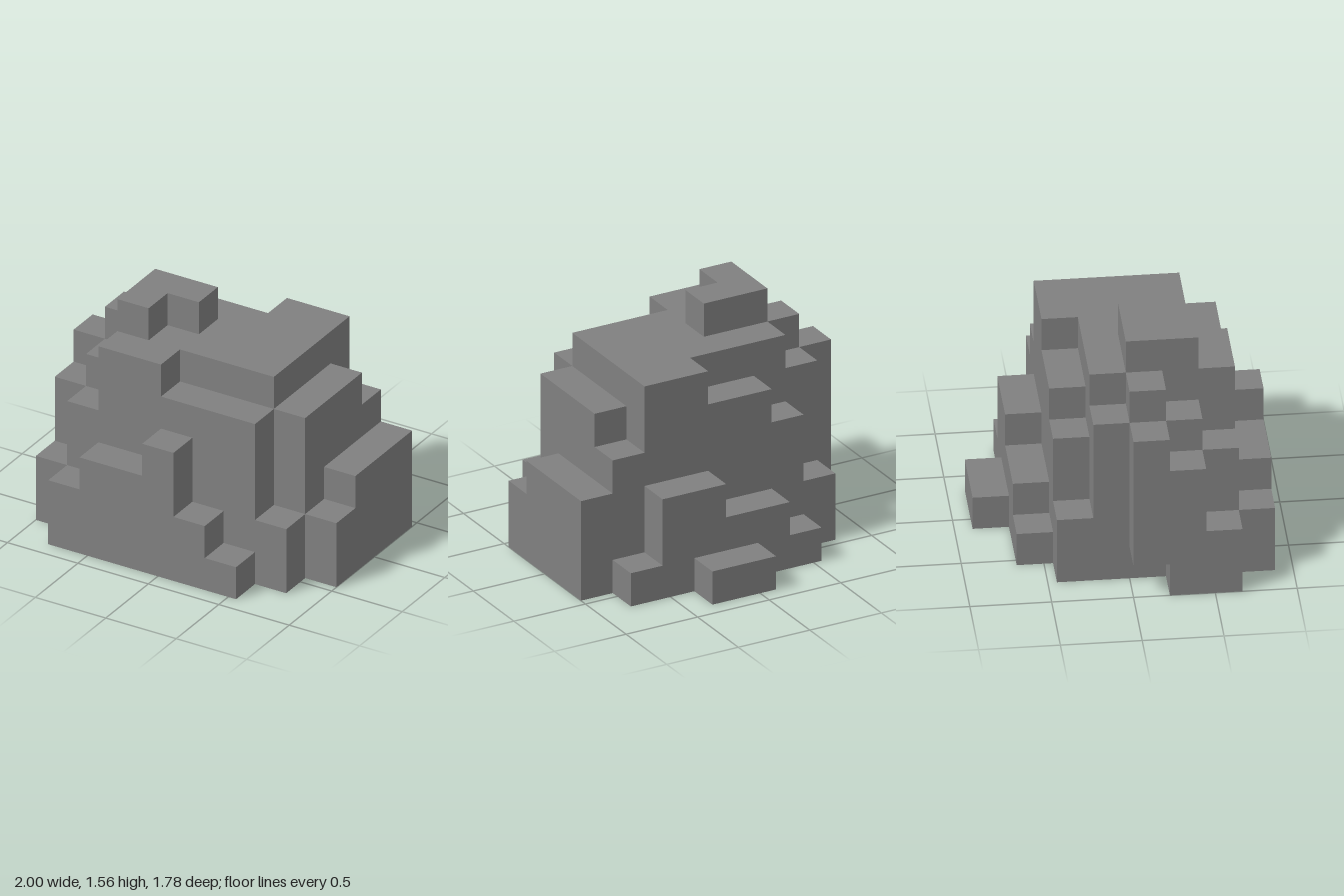
import * as THREE from 'three';
import { mergeGeometries } from 'three/addons/utils/BufferGeometryUtils.js';

const CELL = 2 / 9;

// Block heights: one string per row from back to front, one digit per column from -x to +x
const HEIGHTS = [
  '000011000',
  '001223310',
  '024556643',
  '056666653',
  '567766653',
  '457666652',
  '246655520',
  '023342100',
];
const COLS = HEIGHTS[0].length;
const ROWS = HEIGHTS.length;
const LAYERS = 7;

// A block is solid below its column height, except for one overhang on the -x side
function solid(i, j, k) {
  if (i < 0 || j < 0 || k < 0 || i >= COLS || k >= ROWS) return false;
  if (i === 0 && j === 0 && k === 4) return false;
  return j < Number(HEIGHTS[k][i]);
}

// The six face directions, each with the rotation that turns a +z plane towards it
const SIDES = [
  { n: [0, 0, 1], r: [0, 0] },
  { n: [0, 0, -1], r: [0, Math.PI] },
  { n: [1, 0, 0], r: [0, Math.PI / 2] },
  { n: [-1, 0, 0], r: [0, -Math.PI / 2] },
  { n: [0, 1, 0], r: [-Math.PI / 2, 0] },
  { n: [0, -1, 0], r: [Math.PI / 2, 0] },
];

// Outer skin of the blocks between two layers, without hidden inner faces
function blockSkin(from, to) {
  const faces = [];
  for (let k = 0; k < ROWS; k++)
    for (let j = from; j < to; j++)
      for (let i = 0; i < COLS; i++) {
        if (!solid(i, j, k)) continue;
        for (const { n, r } of SIDES) {
          if (solid(i + n[0], j + n[1], k + n[2])) continue;
          const face = new THREE.PlaneGeometry(CELL, CELL);
          face.rotateX(r[0]).rotateY(r[1]);
          face.translate(
            (i + 0.5 - COLS / 2 + n[0] / 2) * CELL,
            (j + 0.5 + n[1] / 2) * CELL,
            (k + 0.5 - ROWS / 2 + n[2] / 2) * CELL
          );
          faces.push(face);
        }
      }
  return mergeGeometries(faces);
}

export function createModel() {
  const model = new THREE.Group();
  model.name = 'blockyRock';
  const stone = new THREE.MeshStandardMaterial({ color: 0x808080 });
  stone.name = 'stone grey';

  const add = (name, from, to) => {
    const mesh = new THREE.Mesh(blockSkin(from, to), stone);
    mesh.name = name;
    model.add(mesh);
  };
  add('rockBody', 0, LAYERS - 1);
  add('summitKnob', LAYERS - 1, LAYERS);
  return model;
}
